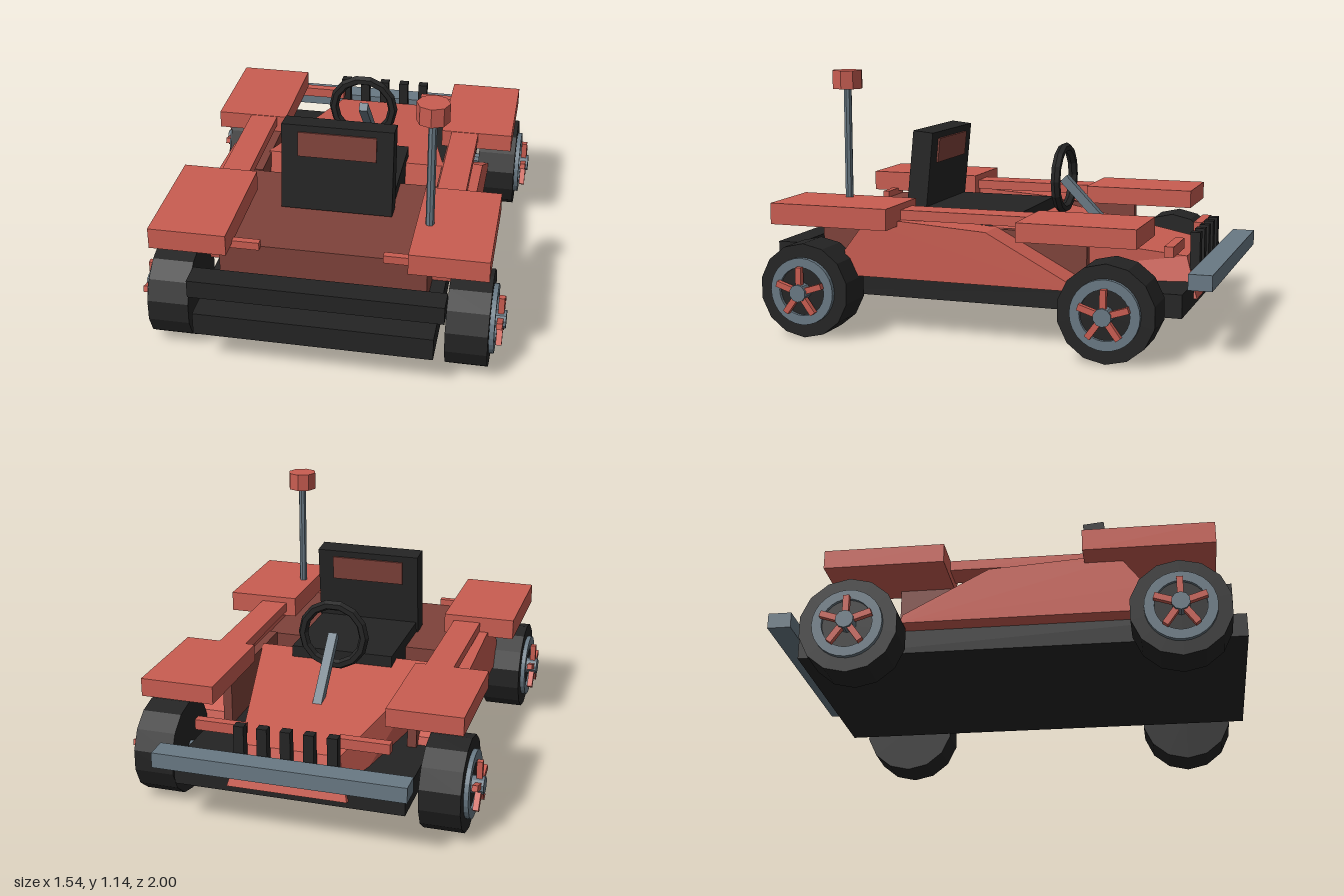
import * as THREE from 'three';

const mat = (name, color, side = THREE.FrontSide) => {
  const m = new THREE.MeshStandardMaterial({ color, flatShading: true, side });
  m.name = name;
  return m;
};

export function createModel() {
  const model = new THREE.Group();
  model.name = 'buggy';
  const red = mat('red paint', 0xc95d51);
  const darkRed = mat('dark red trim', 0x7f423a);
  const black = mat('black rubber', 0x242424);
  const grey = mat('grey metal', 0x697984);

  const add = (name, geo, material, parent = model) => {
    const mesh = new THREE.Mesh(geo, material);
    mesh.name = name;
    parent.add(mesh);
    return mesh;
  };
  // Box given by its min and max along each axis
  const box = (name, material, [x0, x1], [y0, y1], [z0, z1], parent) => {
    const m = add(name, new THREE.BoxGeometry(x1 - x0, y1 - y0, z1 - z0), material, parent);
    m.position.set((x0 + x1) / 2, (y0 + y1) / 2, (z0 + z1) / 2);
    return m;
  };
  // Same box on both sides of the car
  const pair = (name, material, [x0, x1], y, z) => {
    box(name + 'Left', material, [x0, x1], y, z);
    box(name + 'Right', material, [-x1, -x0], y, z);
  };

  // Chassis and tub
  box('floorPan', black, [-0.5, 0.5], [0.16, 0.26], [-0.87, 1]);
  box('seatEndBumper', black, [-0.535, 0.535], [0.3, 0.38], [0.84, 0.945]);
  box('deck', darkRed, [-0.44, 0.44], [0.26, 0.47], [0.155, 0.77]);
  pair('tubWall', darkRed, [0.4, 0.44], [0.26, 0.475], [-0.45, 0.155]);

  // Tapered hood: a box whose corners are moved into a wedge
  const hood = new THREE.BoxGeometry(2, 2, 2);
  const p = hood.attributes.position;
  for (let i = 0; i < p.count; i++) {
    const top = p.getY(i) > 0;
    const nose = p.getZ(i) < 0;
    const half = nose ? (top ? 0.215 : 0.26) : (top ? 0.41 : 0.425);
    const y = nose ? (top ? 0.365 : 0.19) : (top ? 0.48 : 0.26);
    const z = nose ? (top ? -0.83 : -0.885) : (top ? -0.015 : 0.03);
    p.setXYZ(i, Math.sign(p.getX(i)) * half, y, z);
  }
  hood.computeVertexNormals();
  add('hood', hood, red);

  // Side pods, cut from a side profile of [z, y] points
  const podShape = new THREE.Shape(
    [[0.58, 0.26], [0.6, 0.37], [0.5, 0.5], [0.33, 0.51], [-0.05, 0.485], [-0.41, 0.295], [-0.42, 0.26]]
      .map(([z, y]) => new THREE.Vector2(-z, y)));
  for (const s of [1, -1]) {
    const geo = new THREE.ExtrudeGeometry(podShape, { depth: 0.145, bevelEnabled: false });
    geo.rotateY(Math.PI / 2);
    const pod = add(s > 0 ? 'sidePodLeft' : 'sidePodRight', geo, red);
    pod.position.x = s > 0 ? 0.44 : -0.585;
  }
  pair('sideRail', red, [0.42, 0.545], [0.51, 0.553], [-0.23, 0.36]);

  // Fenders and lamps
  pair('seatEndFender', red, [0.375, 0.703], [0.488, 0.58], [0.35, 0.89]);
  pair('noseEndFender', red, [0.375, 0.7], [0.475, 0.555], [-0.725, -0.22]);
  pair('tailLamp', red, [0.26, 0.43], [0.465, 0.5], [0.765, 0.795]);
  pair('headLamp', red, [0.2, 0.42], [0.395, 0.44], [-0.815, -0.775]);

  // Nose bumper and grille bars
  box('noseBumper', grey, [-0.54, 0.54], [0.29, 0.357], [-1, -0.9]);
  for (let i = -2; i <= 2; i++) {
    box('grilleBar', black, [i * 0.1 - 0.022, i * 0.1 + 0.022], [0.307, 0.47], [-0.887, -0.845]);
  }

  // Seat with leaning backrest and trim panel
  box('seatCushion', black, [-0.235, 0.235], [0.3, 0.52], [-0.1, 0.4]);
  const back = new THREE.Group();
  back.name = 'backrest';
  back.position.set(0, 0.665, 0.388);
  back.rotation.x = -0.1;
  box('backrestPad', black, [-0.243, 0.243], [-0.195, 0.195], [-0.047, 0.047], back);
  box('backrestPanel', darkRed, [-0.17, 0.17], [0.055, 0.165], [-0.055, 0.055], back);
  model.add(back);

  // Steering wheel and column
  const wheelCentre = new THREE.Vector3(0, 0.645, -0.22);
  const columnFoot = new THREE.Vector3(0, 0.385, -0.47);
  add('steeringWheel', new THREE.TorusGeometry(0.14, 0.022, 6, 14), black).position.copy(wheelCentre);
  const column = add('steeringColumn',
    new THREE.BoxGeometry(0.04, 0.04, wheelCentre.distanceTo(columnFoot)), grey);
  column.position.copy(wheelCentre).lerp(columnFoot, 0.5);
  column.lookAt(wheelCentre);

  // Mast with octagonal cap
  add('mast', new THREE.CylinderGeometry(0.018, 0.018, 0.63, 8), grey).position.set(0.43, 0.765, 0.645);
  add('mastCap', new THREE.CylinderGeometry(0.068, 0.068, 0.08, 8), red).position.set(0.43, 1.1, 0.645);

  // Wheels: built facing +z around their own axis, then turned outward
  const disc = (r, z0, z1, sides) => new THREE.CylinderGeometry(r, r, z1 - z0, sides)
    .rotateX(Math.PI / 2).translate(0, 0, (z0 + z1) / 2);
  const ringShape = new THREE.Shape().absarc(0, 0, 0.146, 0, Math.PI * 2);
  ringShape.holes.push(new THREE.Path().absarc(0, 0, 0.105, 0, Math.PI * 2, true));
  const ring = new THREE.ExtrudeGeometry(ringShape, { depth: 0.03, bevelEnabled: false, curveSegments: 14 });

  const makeWheel = (name, side, z) => {
    const wheel = new THREE.Group();
    wheel.name = name;
    add('tyre', disc(0.206, -0.09, 0.085, 14), black, wheel);
    add('rimDisc', disc(0.138, 0.08, 0.09, 14), black, wheel);
    add('rimRing', ring, grey, wheel).position.z = 0.075;
    add('hub', disc(0.038, 0.08, 0.145, 10), grey, wheel);
    for (let i = 0; i < 5; i++) {
      const spoke = add('spoke', new THREE.BoxGeometry(0.026, 0.09, 0.025).translate(0, 0.065, 0.122), red, wheel);
      spoke.rotation.z = i * Math.PI * 2 / 5;
    }
    wheel.position.set(side * 0.627, 0.207, z);
    wheel.rotation.y = side * Math.PI / 2;
    model.add(wheel);
  };
  for (const [end, z] of [['seatEnd', 0.735], ['noseEnd', -0.605]]) {
    makeWheel(end + 'WheelLeft', 1, z);
    makeWheel(end + 'WheelRight', -1, z);
    const axle = add(end + 'Axle', new THREE.CylinderGeometry(0.026, 0.026, 1.1, 8), grey);
    axle.rotation.z = Math.PI / 2;
    axle.position.set(0, 0.207, z);
  }

  return model;
}
